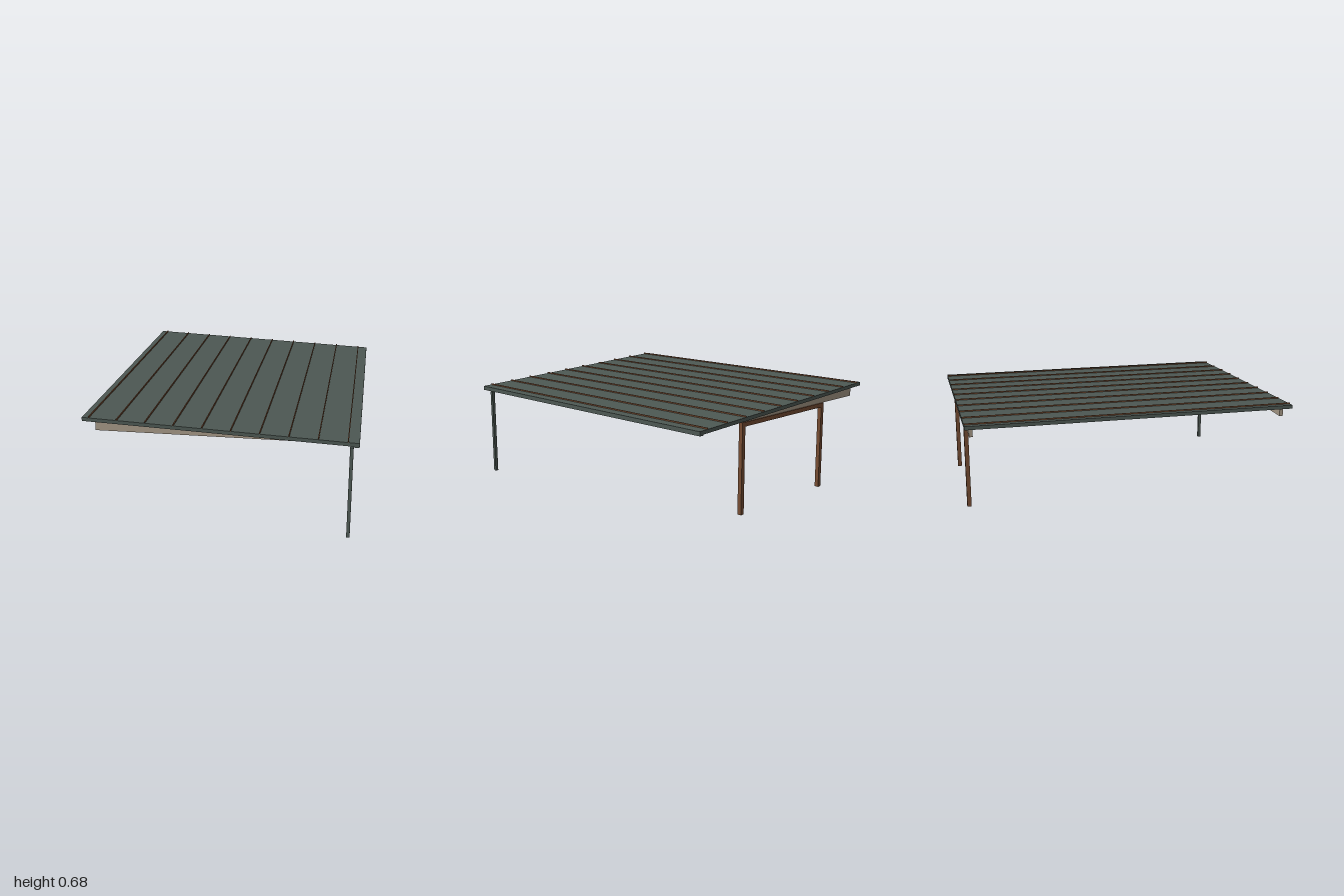
import * as THREE from 'three';

const mat = (name, color) => {
  const m = new THREE.MeshStandardMaterial({ color });
  m.name = name;
  return m;
};

export function createModel() {
  const model = new THREE.Group();
  model.name = 'carportRoof';
  const roofMetal = mat('slate green metal', 0x4d5853);
  const timber = mat('brown timber', 0x754c32);
  const panel = mat('beige panel', 0xa39684);
  const fitting = mat('grey fitting', 0x55595a);
  const slatGrey = mat('light grey slat', 0x77776f);

  // Heights of the sloping roof underside at x
  const slope = -0.068 / 1.6;
  const underside = (x) => 0.616 + slope * x;
  const thickness = 0.022;

  const add = (name, geometry, material, x = 0, y = 0, z = 0) => {
    const mesh = new THREE.Mesh(geometry, material);
    mesh.name = name;
    mesh.position.set(x, y, z);
    model.add(mesh);
    return mesh;
  };
  const box = (name, material, w, h, d, x, y, z) =>
    add(name, new THREE.BoxGeometry(w, h, d), material, x, y, z);

  // Extrudes an outline in x and y, centred on z
  const slab = (name, points, depth, material, z = 0) => {
    const shape = new THREE.Shape(points.map(([x, y]) => new THREE.Vector2(x, y)));
    const geometry = new THREE.ExtrudeGeometry(shape, { depth, bevelEnabled: false });
    geometry.translate(0, 0, -depth / 2);
    return add(name, geometry, material, 0, 0, z);
  };

  // Sloping roof sheet and the trim on its low edge
  slab('roof', [
    [-0.8, underside(-0.8)], [0.8, underside(0.8)],
    [0.8, underside(0.8) + thickness], [-0.8, underside(-0.8) + thickness],
  ], 2, roofMetal);
  box('lowEdgeTrim', roofMetal, 0.028, 0.022, 2, 0.786, 0.589, 0);

  // Standing seams along the roof
  for (let i = 0; i < 10; i++) {
    const x = -0.76 + i * 0.1662;
    const seam = box('roofSeam', timber, 0.006, 0.012, 1.998, x, underside(x) + thickness + 0.002, 0);
    seam.rotation.z = Math.atan(slope);
  }

  // Tapered gable panels at both ends
  for (const z of [-0.96, 0.96]) {
    slab('gablePanel', [
      [-0.73, 0.586], [0.7, 0.586], [-0.73, underside(-0.73)],
    ], 0.022, panel, z);
  }

  // Timber frame at the back
  for (const side of [-1, 1]) {
    box('framePost', timber, 0.026, 0.53, 0.026, side * 0.396, 0.297, -0.965);
  }
  box('frameBeam', timber, 0.818, 0.026, 0.026, 0, 0.573, -0.965);

  // Slim downpipe at the front left corner
  box('downpipe', roofMetal, 0.02, 0.564, 0.02, 0.757, 0.282, 0.96);

  // Slatted fittings below the roof
  for (const side of [-1, 1]) {
    const x = side * 0.416;
    box('fittingPlate', fitting, 0.036, 0.008, 0.25, x, 0.557, 0);
    box('fittingBody', fitting, 0.026, 0.008, 0.23, x, 0.549, 0);
    for (let i = 0; i < 9; i++) {
      box('fittingSlat', slatGrey, 0.024, 0.003, 0.012, x, 0.5445, -0.1 + i * 0.025);
    }
  }

  return model;
}
